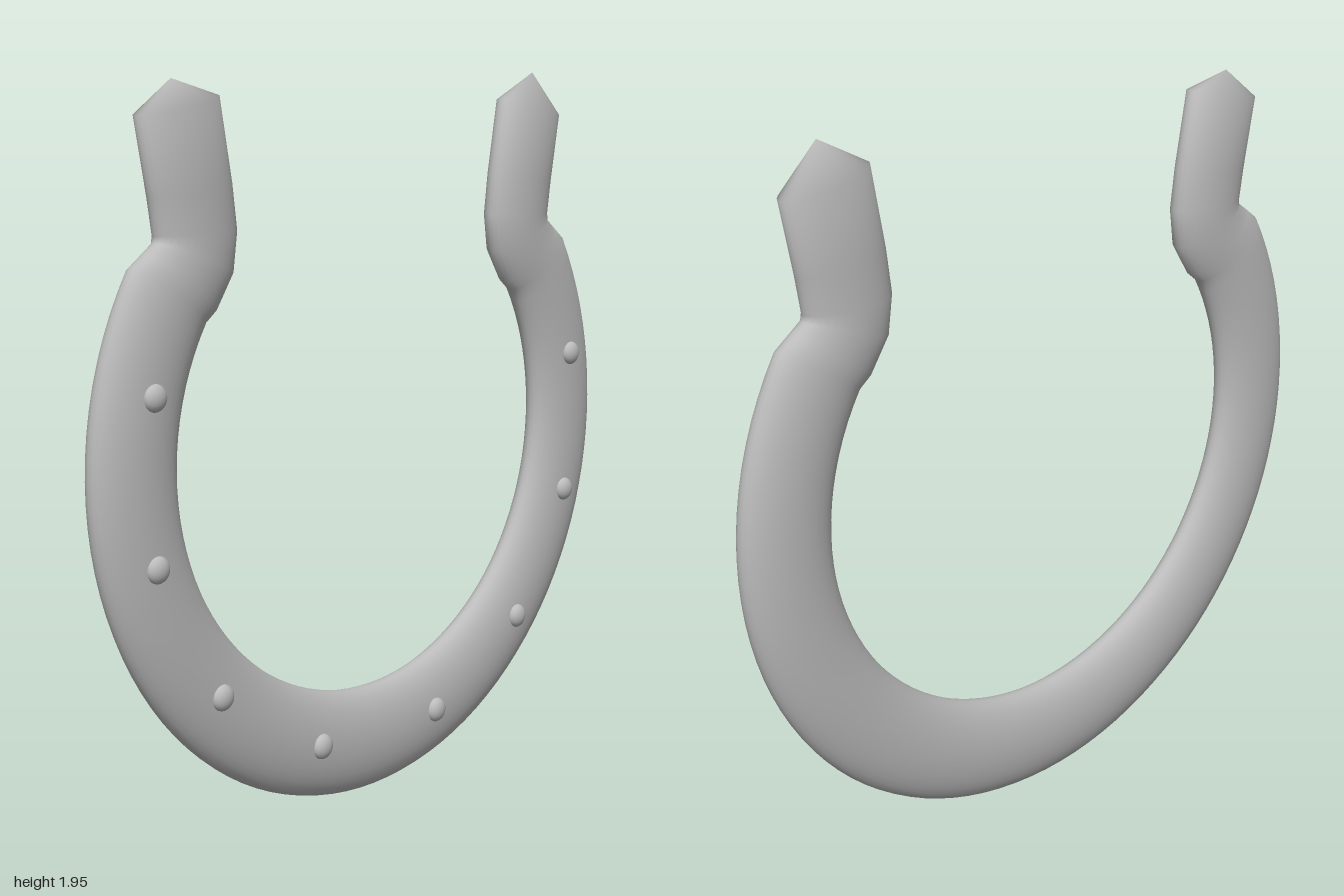
import * as THREE from 'three';

const DEPTH = 0.06, MID_Z = -0.01, SIDES = 32;

// Smooth flattened tube through [outerX, outerY, innerX, innerY] stations, closed by pointed ends
function sweep(stations, startTip, endTip) {
  const pos = [], idx = [];
  for (const [ox, oy, ix, iy] of stations) {
    for (let j = 0; j < SIDES; j++) {
      const a = (j / SIDES) * Math.PI * 2, c = Math.cos(a) / 2;
      pos.push((ox + ix) / 2 + (ox - ix) * c, (oy + iy) / 2 + (oy - iy) * c, MID_Z + DEPTH * Math.sin(a));
    }
  }
  const n = stations.length, first = n * SIDES, last = first + 1;
  pos.push(...startTip, MID_Z, ...endTip, MID_Z);
  for (let j = 0; j < SIDES; j++) {
    const k = (j + 1) % SIDES;
    for (let i = 0; i < n - 1; i++) {
      const a = i * SIDES, b = a + SIDES;
      idx.push(a + j, b + j, a + k, b + j, b + k, a + k);
    }
    const e = (n - 1) * SIDES;
    idx.push(first, j, k, last, e + k, e + j);
  }
  const g = new THREE.BufferGeometry();
  g.setAttribute('position', new THREE.Float32BufferAttribute(pos, 3));
  g.setIndex(idx);
  g.computeVertexNormals();
  return g;
}

export function createModel() {
  const group = new THREE.Group();
  group.name = 'horseshoe';
  const steel = new THREE.MeshStandardMaterial({ color: 0xbbbbbb });
  steel.name = 'steel grey';

  // Round bow between the two heels
  const bow = [];
  const start = Math.PI - THREE.MathUtils.degToRad(31), end = Math.PI * 2 + THREE.MathUtils.degToRad(31);
  for (let i = 0; i <= 72; i++) {
    const t = start + ((end - start) * i) / 72, c = Math.cos(t), s = Math.sin(t);
    bow.push([c, 0.97 + 0.97 * s, 0.73 * c, 0.97 + 0.685 * s]);
  }

  // Upturned heel, hinged about its outer notch
  const heel = [
    [0.815, 1.5, 0.59, 1.35],
    [0.778, 1.525, 0.53, 1.44],
    [0.775, 1.54, 0.515, 1.545],
    [0.79, 1.63, 0.53, 1.66],
    [0.828, 1.82, 0.57, 1.87],
  ];
  const mirrored = heel.map(([ox, oy, ix, iy]) => [-ox, oy, -ix, iy]).reverse();
  const body = new THREE.Mesh(
    sweep([...mirrored, ...bow, ...heel], [-0.717, 1.907], [0.717, 1.945]), steel);
  body.name = 'shoe';
  group.add(body);

  // Nail heads on the front face
  const nails = [
    [-0.84, 1.17], [-0.84, 0.76], [-0.63, 0.4], [-0.263, 0.183],
    [0.214, 0.172], [0.592, 0.37], [0.822, 0.717], [0.846, 1.125],
  ];
  const headGeometry = new THREE.SphereGeometry(0.034, 20, 14);
  nails.forEach(([x, y], i) => {
    const nail = new THREE.Mesh(headGeometry, steel);
    nail.name = `nailHead${i + 1}`;
    nail.position.set(x, y, 0.048);
    nail.scale.z = 0.65;
    group.add(nail);
  });
  return group;
}
